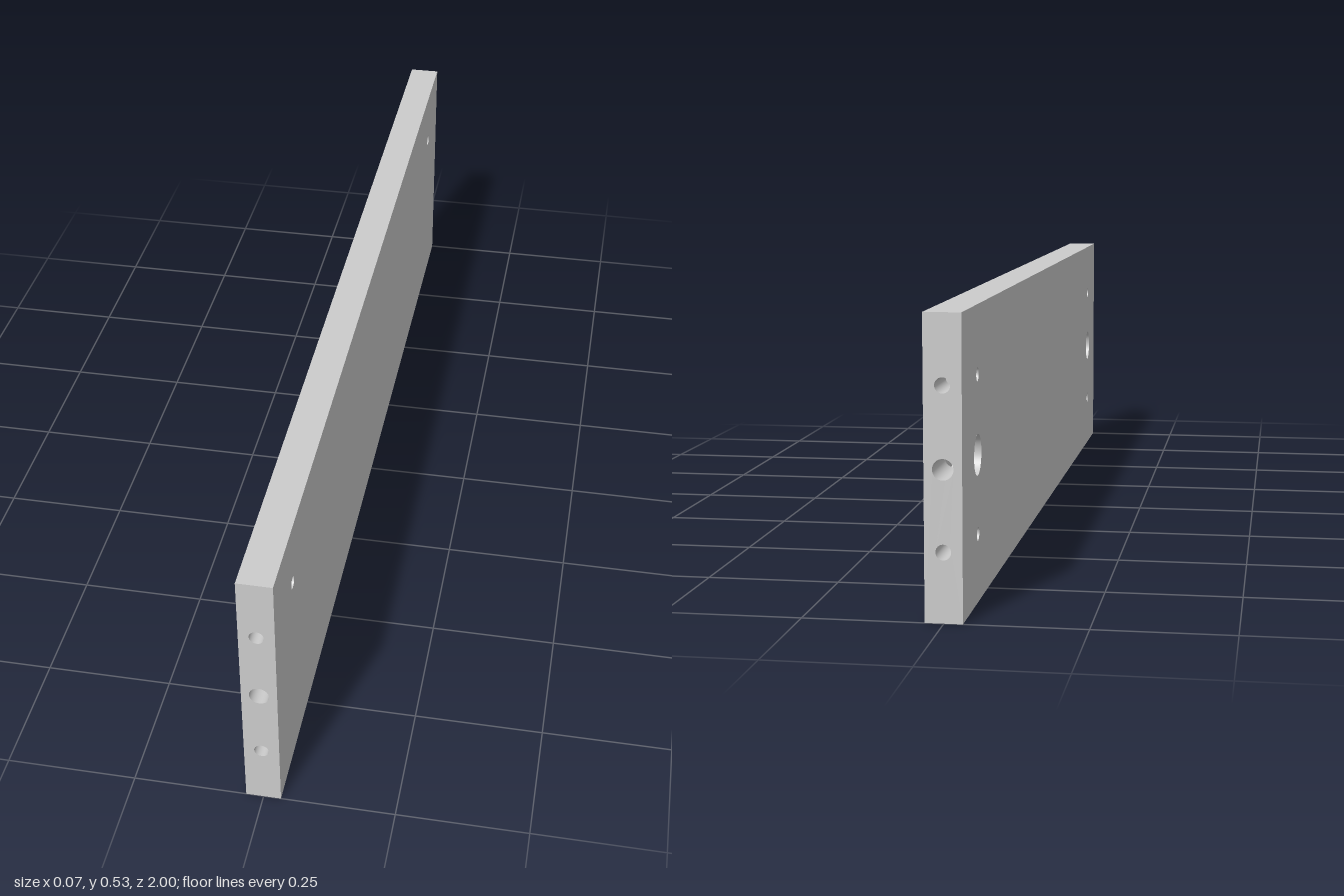
import * as THREE from 'three';
import { ParametricGeometry } from 'three/addons/geometries/ParametricGeometry.js';

const T = 0.0333, H = 0.533, L = 1;           // half thickness, height, half length
const MID = H / 2, HIGH = 0.41, LOW = 0.124;  // hole heights
const HZ = 0.85;                              // distance of the side holes from the centre
const PIN = 0.0125, DOWEL = 0.0137, BOLT = 0.0185, CAM = 0.037; // hole radii
const CAM_END = 0.0187, PIN_END = 0.012, DOWEL_END = 0.9;       // blind hole bottoms

export function createModel() {
  const group = new THREE.Group();
  const solid = new THREE.MeshStandardMaterial({ color: 0xcccccc });
  const inner = new THREE.MeshStandardMaterial({ color: 0xcccccc, side: THREE.DoubleSide });

  const add = (parent, name, geometry, material = inner) => {
    const mesh = new THREE.Mesh(geometry, material);
    mesh.name = name;
    parent.add(mesh);
    return mesh;
  };

  // Flat panel face, with round holes given as [x, y, radius]
  const face = (name, w, h, holes = []) => {
    const shape = new THREE.Shape([[-w, -h], [w, -h], [w, h], [-w, h]].map(p => new THREE.Vector2(...p)));
    for (const [x, y, r] of holes) shape.holes.push(new THREE.Path().absarc(x, y - MID, r, 0, Math.PI * 2, true));
    return add(group, name, new THREE.ShapeGeometry(shape, 24), solid);
  };

  // Surface ruled between two curves, each t -> [x, y, z]
  const ruled = (parent, name, a, b, n = 48) =>
    add(parent, name, new ParametricGeometry((u, v, target) => {
      target.set(...a(u)).lerp(new THREE.Vector3(...b(u)), v);
    }, n, 1));

  // Circles across the thickness (x) and along the length (z)
  const ringX = (x, y, z, r) => t => [x, y + r * Math.sin(t * 2 * Math.PI), z + r * Math.cos(t * 2 * Math.PI)];
  const ringZ = (z, y, r) => t => [r * Math.cos(t * 2 * Math.PI), y + r * Math.sin(t * 2 * Math.PI), z];

  const disc = (parent, name, r, x, y, z, turn) => {
    const mesh = add(parent, name, new THREE.CircleGeometry(r, 48));
    mesh.position.set(x, y, z);
    mesh.rotation.y = turn;
  };

  // Outer faces of the board
  const pins = [HZ, -HZ].map(z => [z, HIGH, PIN]);
  const blind = [HZ, -HZ].flatMap(z => [[z, MID, CAM], [z, LOW, PIN]]);
  const ends = [[0, HIGH, DOWEL], [0, MID, BOLT], [0, LOW, DOWEL]];
  const place = (mesh, x, y, z, rx, ry) => {
    mesh.position.set(x, y, z);
    mesh.rotation.set(rx, ry, 0);
  };
  const q = Math.PI / 2;
  place(face('plainSide', L, MID, pins), T, MID, 0, 0, q);
  place(face('drilledSide', L, MID, [...pins, ...blind]), -T, MID, 0, 0, -q);
  place(face('frontEnd', T, MID, ends), 0, MID, L, 0, 0);
  place(face('backEnd', T, MID, ends), 0, MID, -L, 0, Math.PI);
  place(face('topEdge', T, L), 0, H, 0, -q, 0);
  place(face('bottomEdge', T, L), 0, 0, 0, q, 0);

  // Holes, the same at both ends
  for (const s of [1, -1]) {
    const drill = new THREE.Group();
    drill.name = s > 0 ? 'frontHoles' : 'backHoles';
    group.add(drill);
    const z = s * HZ;

    // Through hole above, blind hole below
    ruled(drill, 'throughHole', ringX(-T, HIGH, z, PIN), ringX(T, HIGH, z, PIN));
    ruled(drill, 'blindHole', ringX(-T, LOW, z, PIN), ringX(PIN_END, LOW, z, PIN));
    disc(drill, 'blindHoleBottom', PIN, PIN_END, LOW, z, -q);

    // Dowel holes in the end
    for (const y of [HIGH, LOW]) {
      ruled(drill, 'dowelHole', ringZ(s * L, y, DOWEL), ringZ(s * DOWEL_END, y, DOWEL));
      disc(drill, 'dowelHoleBottom', DOWEL, 0, y, s * DOWEL_END, 0);
    }

    // Bolt hole, running from the end until it meets the cam pocket
    ruled(drill, 'boltHole', ringZ(s * L, MID, BOLT), t => {
      const [x, y] = ringZ(0, MID, BOLT)(t);
      return [x, y, s * (HZ + Math.sqrt(CAM ** 2 - (y - MID) ** 2))];
    });

    // Cam pocket: plain wall, then the strips beside the bolt opening
    const open = Math.asin(BOLT / CAM);
    const camPoint = (x, a) => [x, MID + CAM * Math.sin(a), s * (HZ + CAM * Math.cos(a))];
    const around = t => open + t * 2 * (Math.PI - open);
    ruled(drill, 'camPocketWall', t => camPoint(-T, around(t)), t => camPoint(CAM_END, around(t)));
    for (const [edge, side] of [[-T, -1], [CAM_END, 1]]) {
      // Angle for each step round the bolt hole, so the openings match
      const angle = t => Math.asin(-BOLT * Math.cos(t * Math.PI) / CAM);
      ruled(drill, 'camPocketOpening', t => camPoint(edge, angle(t)),
        t => camPoint(side * BOLT * Math.sin(t * Math.PI), angle(t)), 24);
    }
    disc(drill, 'camPocketBottom', CAM, CAM_END, MID, z, -q);
  }
  return group;
}
